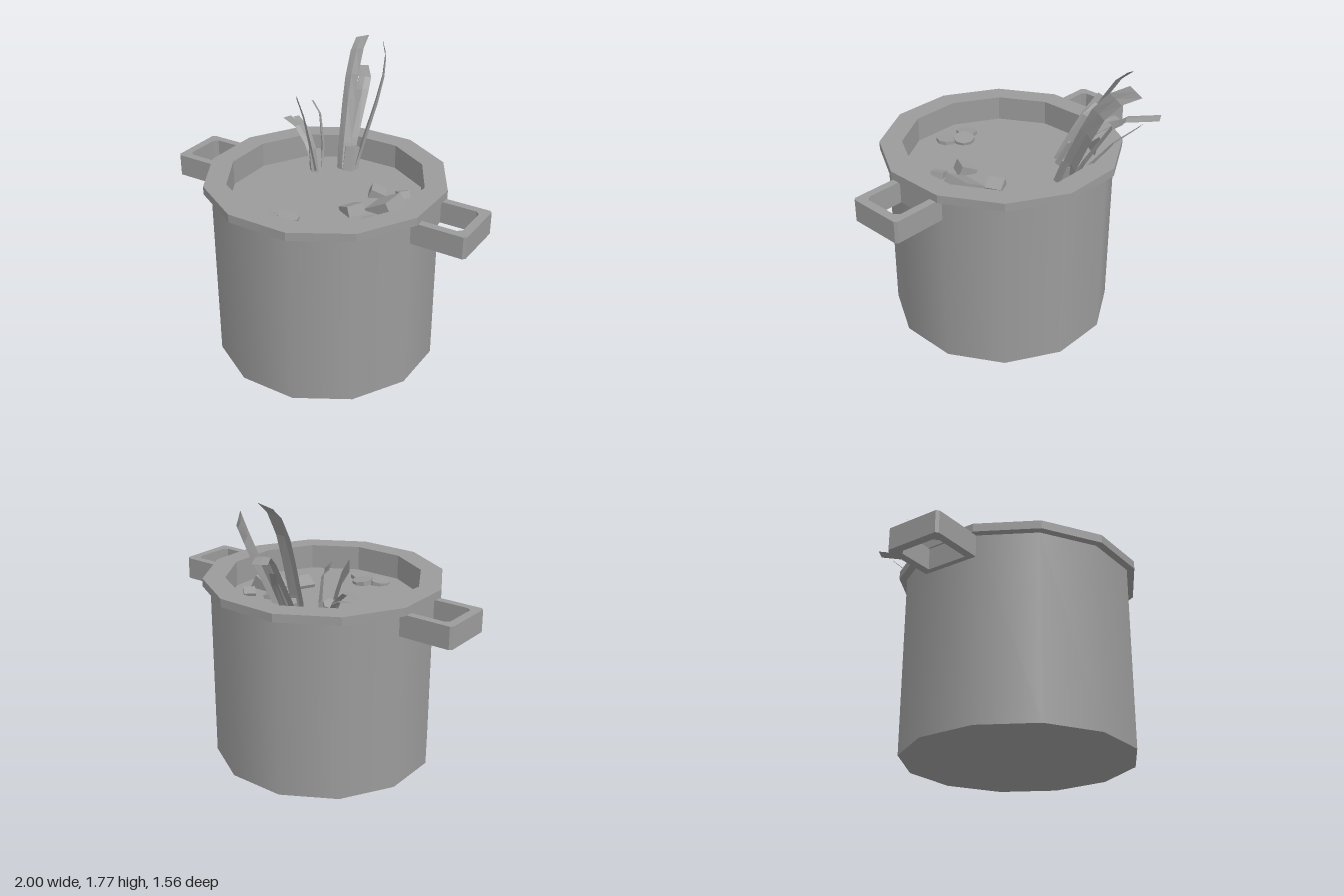
import * as THREE from 'three';

const COLOR = 0x9b9b9b;
const flat = new THREE.MeshStandardMaterial({ color: COLOR, flatShading: true });
const smooth = new THREE.MeshStandardMaterial({ color: COLOR });
const thin = new THREE.MeshStandardMaterial({ color: COLOR, flatShading: true, side: THREE.DoubleSide });
const V = (p) => new THREE.Vector3(...p);
const CENTRE_Z = 0.05, SOUP_Y = 1.0;

function add(parent, name, geometry, material = flat) {
  const mesh = new THREE.Mesh(geometry, material);
  mesh.name = name;
  parent.add(mesh);
  return mesh;
}

// Twelve-sided surface of revolution from [radius, height] pairs
const lathe = (pts) => new THREE.LatheGeometry(pts.map((p) => new THREE.Vector2(...p)), 12);

// Rectangle with cut corners, shared by the handle outline and its hole
function cutRect(path, x0, x1, h, c) {
  path.moveTo(x0, -h);
  path.lineTo(x1 - c, -h);
  path.lineTo(x1, -h + c);
  path.lineTo(x1, h - c);
  path.lineTo(x1 - c, h);
  path.lineTo(x0, h);
  path.closePath();
  return path;
}

// Folded ribbon along a path; side is the half-width vector
function leaf(points, side, fold) {
  const s = V(side), pos = [], idx = [];
  points.forEach((p, i) => {
    const c = V(p);
    const a = V(points[Math.max(i - 1, 0)]);
    const b = V(points[Math.min(i + 1, points.length - 1)]);
    const out = s.clone().cross(b.sub(a)).normalize();
    const mid = c.clone().addScaledVector(out, fold * (1 - i / (points.length - 1)));
    for (const v of [c.clone().sub(s), mid, c.clone().add(s)]) pos.push(v.x, v.y, v.z);
    if (i > 0) {
      for (const k of [0, 1]) {
        const n = i * 3 + k, m = n - 3;
        idx.push(m, m + 1, n, m + 1, n + 1, n);
      }
    }
  });
  const g = new THREE.BufferGeometry();
  g.setAttribute('position', new THREE.Float32BufferAttribute(pos, 3));
  g.setIndex(idx);
  g.computeVertexNormals();
  return g;
}

// Tapered six-sided stalk between two points
function stalk(parent, from, to, r0, r1) {
  const a = V(from), b = V(to), dir = b.clone().sub(a);
  const mesh = add(parent, 'stalk', new THREE.CylinderGeometry(r1, r0, dir.length(), 6));
  mesh.position.copy(a).add(b).multiplyScalar(0.5);
  mesh.quaternion.setFromUnitVectors(new THREE.Vector3(0, 1, 0), dir.normalize());
}

export function createModel() {
  const model = new THREE.Group();
  model.name = 'soupPot';

  // Pot, rim and soup share one axis
  const pot = new THREE.Group();
  pot.name = 'pot';
  pot.position.z = CENTRE_Z;
  model.add(pot);
  add(pot, 'body', lathe([[0.684, 0], [0.684, 1.1]]), smooth);
  add(pot, 'base', lathe([[0, 0], [0.684, 0]]));
  add(pot, 'rim', lathe([[0.684, 1.1], [0.73, 1.1], [0.73, 1.15], [0.595, 1.15], [0.595, SOUP_Y - 0.005]]));
  add(pot, 'soup', lathe([[0.595, SOUP_Y - 0.005], [0.575, SOUP_Y - 0.005], [0.575, SOUP_Y], [0, SOUP_Y]]));

  // Loop handles, opposite each other on two flat sides
  const outline = cutRect(new THREE.Shape(), 0.645, 0.992, 0.177, 0.015);
  outline.holes.push(cutRect(new THREE.Path(), 0.695, 0.94, 0.129, 0.025));
  const handleGeo = new THREE.ExtrudeGeometry(outline, { depth: 0.135, bevelEnabled: false });
  handleGeo.rotateX(-Math.PI / 2).translate(0, 0.967, 0);
  for (const [name, turn] of [['leftHandle', 0], ['rightHandle', Math.PI]]) {
    add(pot, name, handleGeo).rotation.y = Math.PI / 12 + turn;
  }

  // Large leek leaning over the back of the rim
  const bigLeek = new THREE.Group();
  bigLeek.name = 'largeLeek';
  model.add(bigLeek);
  stalk(bigLeek, [-0.19, 0.96, -0.32], [-0.215, 1.13, -0.37], 0.06, 0.055);
  const bigLeaves = [
    [[[-0.21, 1, -0.29], [-0.245, 1.15, -0.335], [-0.305, 1.4, -0.425], [-0.335, 1.55, -0.48], [-0.372, 1.69, -0.56], [-0.395, 1.755, -0.63]], [0.038, 0.012, -0.02]],
    [[[-0.165, 1, -0.36], [-0.165, 1.15, -0.425], [-0.175, 1.4, -0.55], [-0.195, 1.55, -0.625], [-0.25, 1.655, -0.695], [-0.335, 1.7, -0.755]], [0.022, 0.03, 0.027]],
    [[[-0.25, 1, -0.36], [-0.28, 1.15, -0.43], [-0.34, 1.42, -0.58], [-0.38, 1.48, -0.64], [-0.52, 1.5, -0.755]], [0.03, 0, -0.028]],
    [[[-0.25, 1, -0.38], [-0.31, 1.15, -0.47], [-0.37, 1.3, -0.56], [-0.48, 1.42, -0.65]], [0.02, 0, -0.01]],
  ];
  for (const [path, side] of bigLeaves) add(bigLeek, 'leaf', leaf(path, side, 0.025), thin);

  // Small leek leaning over the side of the rim
  const smallLeek = new THREE.Group();
  smallLeek.name = 'smallLeek';
  model.add(smallLeek);
  stalk(smallLeek, [-0.3, 0.97, -0.15], [-0.365, 1.12, -0.185], 0.048, 0.042);
  const smallLeaves = [
    [[[-0.3, 1, -0.14], [-0.38, 1.15, -0.165], [-0.47, 1.3, -0.19], [-0.56, 1.4, -0.21]], [0.03, 0.025, 0.025]],
    [[[-0.29, 1, -0.18], [-0.34, 1.15, -0.24], [-0.4, 1.33, -0.265], [-0.48, 1.39, -0.275]], [0.02, 0.015, 0.027]],
    [[[-0.32, 1, -0.16], [-0.42, 1.15, -0.18], [-0.52, 1.23, -0.19], [-0.665, 1.24, -0.215]], [0.003, 0, -0.03]],
    [[[-0.32, 1, -0.18], [-0.46, 1.15, -0.23], [-0.55, 1.2, -0.26], [-0.65, 1.23, -0.28]], [0.005, 0, -0.02]],
  ];
  for (const [path, side] of smallLeaves) add(smallLeek, 'leaf', leaf(path, side, 0.02), thin);

  // Diced vegetables: x, z, width, height, depth, turn, tilt
  const chunks = [
    [0.355, -0.1, 0.16, 0.11, 0.17, 0.22, 0.5],
    [0.185, -0.19, 0.09, 0.08, 0.1, 0.7, -0.4],
    [0.315, -0.285, 0.065, 0.07, 0.07, -0.5, 0.4],
    [0.245, 0.07, 0.1, 0.09, 0.11, -0.2, 0.4],
    [0.405, 0.1, 0.07, 0.06, 0.08, 0.7, 0.3],
  ];
  for (const [x, z, w, h, d, turn, tilt] of chunks) {
    const chunk = add(model, 'vegetableChunk', new THREE.BoxGeometry(w, h, d));
    chunk.position.set(x, SOUP_Y, z);
    chunk.rotation.set(0, turn, tilt);
  }

  // Floating round slices
  for (const [x, z, y, tilt] of [[-0.005, 0.485, 0.005, 0.1], [0.06, 0.405, 0.012, -0.1], [0.15, 0.465, 0.003, 0.05]]) {
    const slice = add(model, 'vegetableSlice', new THREE.CylinderGeometry(0.066, 0.066, 0.03, 8));
    slice.position.set(x, SOUP_Y + y, z);
    slice.rotation.set(tilt, 0.2, tilt);
  }

  return model;
}
